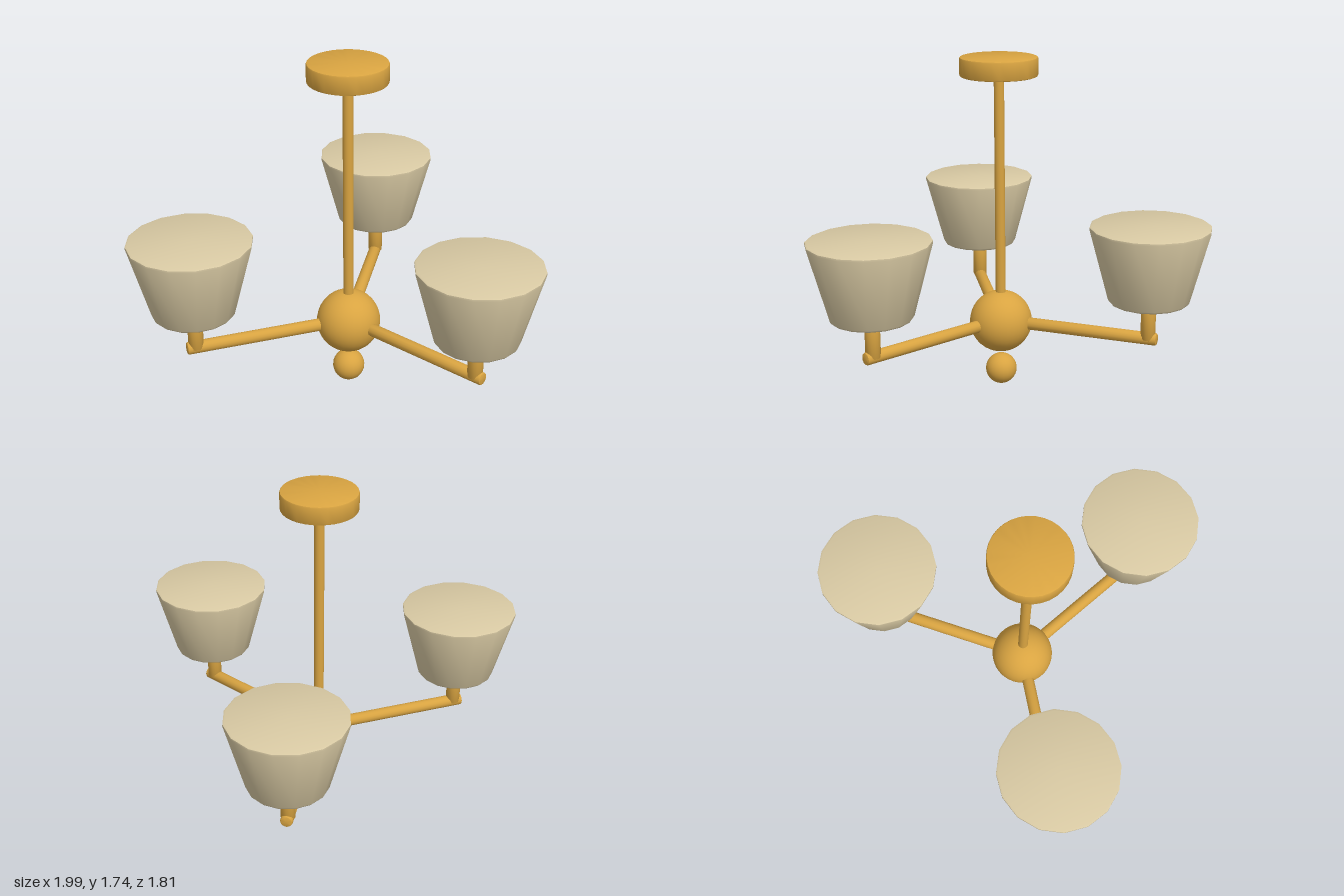
import * as THREE from 'three';
import { toCreasedNormals } from 'three/addons/utils/BufferGeometryUtils.js';

const brass = new THREE.MeshStandardMaterial({ color: 0xd9a441 });
brass.name = 'brass';
const linen = new THREE.MeshStandardMaterial({ color: 0xd8c9a3 });
linen.name = 'linen';

// Closed turned solid with softly bevelled rims, standing on y = 0
function turned(bottomR, topR, height, bevel, sides) {
  const slope = (topR - bottomR) / height;
  const profile = [
    [0, 0],
    [bottomR - bevel, 0],
    [bottomR - bevel * 0.3 + slope * bevel * 0.3, bevel * 0.3],
    [bottomR + slope * bevel, bevel],
    [topR - slope * bevel, height - bevel],
    [topR - bevel * 0.3, height - bevel * 0.3],
    [topR - bevel, height],
    [0, height],
  ].map(([r, y]) => new THREE.Vector2(r, y));
  return toCreasedNormals(new THREE.LatheGeometry(profile, sides), 0.65);
}

function add(parent, name, geometry, material, x, y, z) {
  const mesh = new THREE.Mesh(geometry, material);
  mesh.name = name;
  mesh.position.set(x, y, z);
  parent.add(mesh);
  return mesh;
}

export function createModel() {
  const model = new THREE.Group();
  model.name = 'chandelier';
  const lamp = new THREE.Group();
  lamp.name = 'lamp';
  lamp.position.z = 0.2; // the central axis sits forward of the middle
  model.add(lamp);

  // Central column
  add(lamp, 'ceilingCanopy', turned(0.197, 0.197, 0.097, 0.008, 32), brass, 0, 1.648, 0);
  add(lamp, 'downRod', new THREE.CylinderGeometry(0.026, 0.026, 1.32, 20), brass, 0, 1.01, 0);
  add(lamp, 'hub', new THREE.SphereGeometry(0.163, 32, 20), brass, 0, 0.352, 0);
  add(lamp, 'finial', new THREE.SphereGeometry(0.082, 24, 16), brass, 0, 0.084, 0);

  // Three arms, one to the back and two to the front
  const reach = 0.798;
  const armStart = 0.08;
  const armGeometry = turned(0.032, 0.032, 0.845 - armStart, 0.008, 16);
  const stemGeometry = turned(0.038, 0.038, 0.22, 0.008, 16);
  const shadeGeometry = turned(0.203, 0.308, 0.395, 0.014, 16);
  for (let i = 0; i < 3; i++) {
    const angle = Math.PI + (i * Math.PI * 2) / 3;
    const dir = new THREE.Vector3(Math.sin(angle), 0, Math.cos(angle));
    const branch = new THREE.Group();
    branch.name = 'branch' + (i + 1);
    lamp.add(branch);

    const arm = add(branch, 'arm', armGeometry, brass, dir.x * armStart, 0.354, dir.z * armStart);
    arm.quaternion.setFromUnitVectors(new THREE.Vector3(0, 1, 0), dir);
    add(branch, 'stem', stemGeometry, brass, dir.x * reach, 0.35, dir.z * reach);
    add(branch, 'shade', shadeGeometry, linen, dir.x * reach, 0.552, dir.z * reach);
  }
  return model;
}
